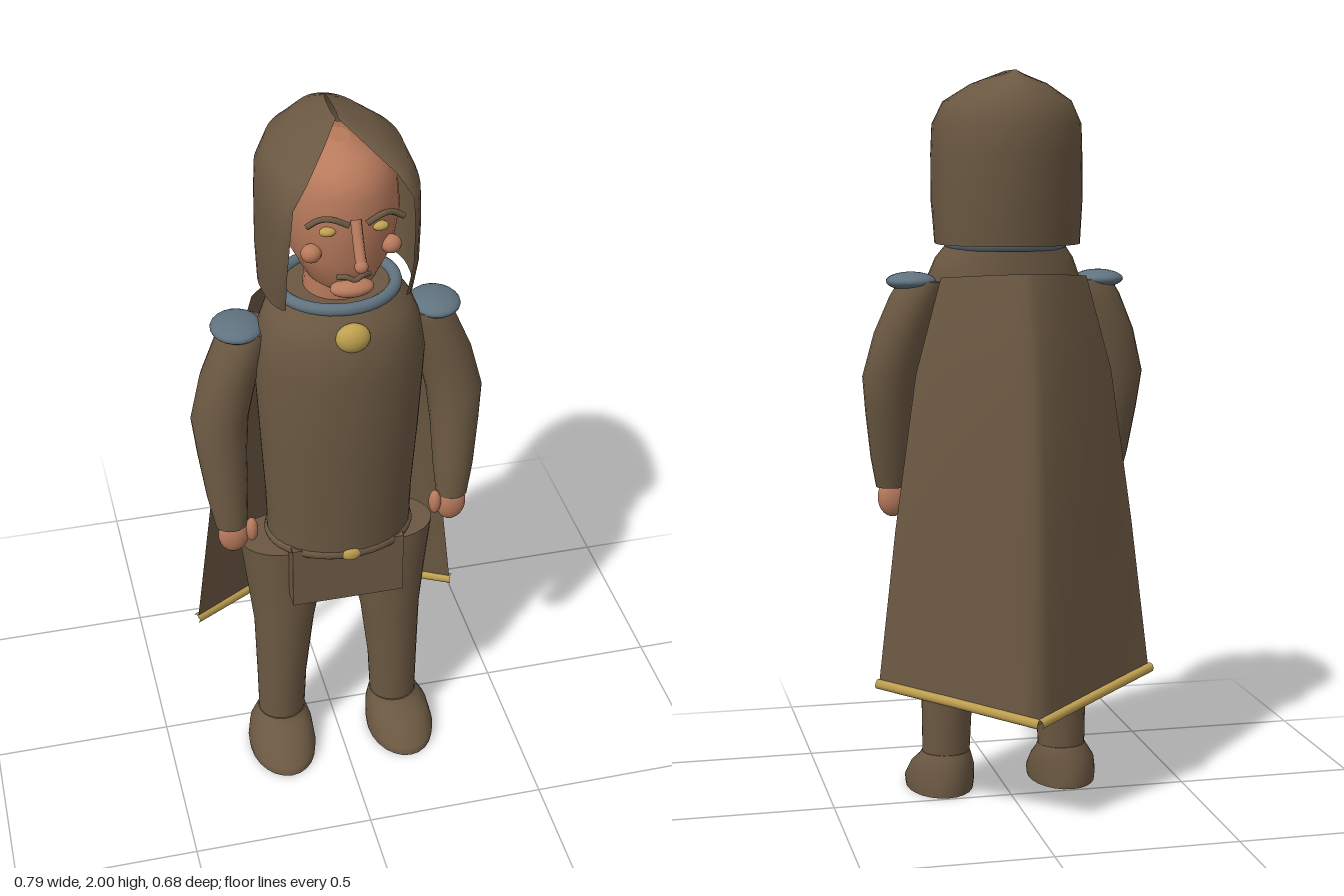
import * as THREE from 'three';

const mat = (name, color, side = THREE.FrontSide) => {
  const m = new THREE.MeshStandardMaterial({ color, side });
  m.name = name;
  return m;
};

// Surface from a grid of points; wrap closes each row into a ring
function gridGeometry(rows, wrap, caps) {
  const n = rows[0].length, pos = rows.flat(2), idx = [];
  for (let i = 0; i < rows.length - 1; i++) {
    for (let j = 0; j < (wrap ? n : n - 1); j++) {
      const k = (j + 1) % n, a = i * n + j, b = i * n + k;
      idx.push(a, b, b + n, a, b + n, a + n);
    }
  }
  if (caps) {
    [rows[0], rows[rows.length - 1]].forEach((ring, end) => {
      const c = pos.length / 3;
      const mid = [0, 1, 2].map(k => ring.reduce((s, p) => s + p[k], 0) / n);
      pos.push(...mid, ...ring.flat());
      for (let j = 0; j < n; j++) {
        const p = c + 1 + j, q = c + 1 + (j + 1) % n;
        if (end) idx.push(c, p, q); else idx.push(c, q, p);
      }
    });
  }
  const g = new THREE.BufferGeometry();
  g.setAttribute('position', new THREE.Float32BufferAttribute(pos, 3));
  g.setIndex(idx);
  g.computeVertexNormals();
  return g;
}

// Stack of ellipses, bottom to top: [y, centre x, centre z, radius x, radius z]
function loft(sections, n = 24) {
  return gridGeometry(sections.map(([y, cx, cz, rx, rz]) =>
    Array.from({ length: n }, (_, j) => {
      const a = j / n * Math.PI * 2;
      return [cx + rx * Math.sin(a), y, cz + rz * Math.cos(a)];
    })), true, true);
}

function tube(points, r, smooth = true) {
  const v = points.map(p => new THREE.Vector3(...p));
  const curve = new THREE.CatmullRomCurve3(v, false, 'catmullrom', smooth ? 0.5 : 0);
  return new THREE.TubeGeometry(curve, 24, r, 8);
}

export function createModel() {
  const model = new THREE.Group();
  const cloth = mat('brown cloth', 0x6b5842);
  const drape = mat('brown drape', 0x6b5842, THREE.DoubleSide);
  const skin = mat('skin', 0xb87a5c);
  const steel = mat('blue steel', 0x60737f);
  const gold = mat('gold', 0xbfa050);

  const add = (name, geometry, material) => {
    const m = new THREE.Mesh(geometry, material);
    m.name = name;
    model.add(m);
    return m;
  };
  const ball = (name, material, p, r) => {
    const m = add(name, new THREE.SphereGeometry(1, 20, 14), material);
    m.position.set(...p);
    m.scale.set(...r);
    return m;
  };
  // Horizontal elliptical band
  const band = (name, material, y, z, rx, rz, r) => {
    const m = add(name, new THREE.TorusGeometry(1, r / rx, 10, 40), material);
    m.rotation.x = Math.PI / 2;
    m.scale.set(rx, rz, rx);
    m.position.set(0, y, z);
  };

  // Torso, collar, belt and loincloth
  add('torso', loft([
    [0.77, 0, 0.1, 0.198, 0.152], [0.9, 0, 0.1, 0.2, 0.158], [1.1, 0, 0.105, 0.212, 0.168],
    [1.35, 0, 0.105, 0.225, 0.178], [1.45, 0, 0.098, 0.21, 0.168],
    [1.5, 0, 0.09, 0.19, 0.155], [1.54, 0, 0.075, 0.16, 0.14]], 32), cloth);
  add('neck', loft([[1.5, 0, 0.07, 0.09, 0.09], [1.62, 0, 0.08, 0.08, 0.09]]), skin);
  band('collar', steel, 1.54, 0.072, 0.152, 0.138, 0.017);
  band('belt', cloth, 0.78, 0.1, 0.19, 0.145, 0.016);
  ball('buckle', gold, [0, 0.78, 0.25], [0.027, 0.02, 0.012]);
  ball('brooch', gold, [0, 1.48, 0.25], [0.045, 0.04, 0.03]);
  const flap = add('loincloth', new THREE.BoxGeometry(0.31, 0.19, 0.22), cloth);
  flap.position.set(0, 0.695, 0.11);

  // Head
  add('head', loft([
    [1.57, 0, 0.11, 0.04, 0.07], [1.61, 0, 0.11, 0.09, 0.115], [1.69, 0, 0.105, 0.132, 0.15],
    [1.79, 0, 0.1, 0.148, 0.165], [1.87, 0, 0.1, 0.14, 0.165], [1.92, 0, 0.1, 0.115, 0.15],
    [1.95, 0, 0.1, 0.075, 0.11], [1.97, 0, 0.1, 0.025, 0.04]], 28), skin);
  add('nose', tube([[0, 1.83, 0.268], [0, 1.78, 0.295], [0, 1.735, 0.325]], 0.014), skin);
  ball('noseTip', skin, [0, 1.733, 0.325], [0.017, 0.017, 0.017]);
  ball('mouth', skin, [0, 1.62, 0.235], [0.056, 0.023, 0.032]);
  add('moustache', tube([[-0.04, 1.662, 0.248], [-0.02, 1.668, 0.262], [0, 1.66, 0.266],
    [0.02, 1.668, 0.262], [0.04, 1.662, 0.248]], 0.007), cloth);
  for (const s of [1, -1]) {
    const side = s > 0 ? 'left' : 'right';
    ball(side + 'Eye', gold, [s * 0.065, 1.795, 0.25], [0.021, 0.012, 0.015]);
    ball(side + 'Cheek', skin, [s * 0.1, 1.725, 0.225], [0.026, 0.024, 0.024]);
    add(side + 'Eyebrow', tube([[s * 0.022, 1.828, 0.288], [s * 0.06, 1.845, 0.282],
      [s * 0.09, 1.84, 0.268], [s * 0.12, 1.822, 0.262]], 0.008), cloth);
  }

  // Hood rows: [y, back z, half width, opening half width, opening z]
  const hood = [
    [1.54, -0.15, 0.195, 0.155, 0.18], [1.65, -0.168, 0.2, 0.16, 0.22],
    [1.78, -0.187, 0.198, 0.155, 0.245], [1.86, -0.19, 0.195, 0.148, 0.248],
    [1.92, -0.175, 0.168, 0.11, 0.235], [1.965, -0.135, 0.1, 0.05, 0.15],
    [2.0, -0.06, 0.006, 0.001, 0.07]];
  add('hood', gridGeometry(hood.map(([y, zb, w, xe, ze]) => {
    const zc = 0.04, half = [];
    for (let i = 0; i <= 18; i++) {
      const back = i <= 12, a = (back ? i / 12 : (i - 12) / 6) * Math.PI / 2;
      half.push(back
        ? [w * Math.sin(a), y, zc - (zc - zb) * Math.cos(a)]
        : [xe + (w - xe) * Math.cos(a), y, zc + (ze - zc) * Math.sin(a)]);
    }
    const right = half.map(([x, yy, z]) => [-x, yy, z]);
    return [...half.slice(1).reverse(), ...right].reverse();
  }), false, false).scale(-1, 1, 1), drape);
  // Restore outward winding after the mirror
  const hoodGeometry = model.getObjectByName('hood').geometry;
  hoodGeometry.index.array.reverse();
  hoodGeometry.computeVertexNormals();
  const outward = hoodGeometry.attributes.normal.getZ(18 + 37 * 2) < 0;
  if (!outward) {
    hoodGeometry.index.array.reverse();
    hoodGeometry.computeVertexNormals();
  }

  // Arms, hands, shoulder plates, legs and shoes
  for (const s of [1, -1]) {
    const side = s > 0 ? 'left' : 'right';
    add(side + 'Arm', loft([
      [0.865, s * 0.307, 0.15, 0.043, 0.038], [0.95, s * 0.312, 0.135, 0.055, 0.048],
      [1.08, s * 0.318, 0.11, 0.066, 0.06], [1.18, s * 0.318, 0.092, 0.076, 0.068],
      [1.3, s * 0.288, 0.078, 0.075, 0.073], [1.4, s * 0.25, 0.07, 0.07, 0.075],
      [1.44, s * 0.235, 0.07, 0.06, 0.065]], 18), cloth);
    ball(side + 'Hand', skin, [s * 0.303, 0.835, 0.157], [0.042, 0.056, 0.03]);
    ball(side + 'Thumb', skin, [s * 0.255, 0.85, 0.168], [0.017, 0.037, 0.019]);
    ball(side + 'ShoulderPlate', steel, [s * 0.262, 1.44, 0.072], [0.068, 0.025, 0.076]);
    add(side + 'Leg', loft([
      [0.09, s * 0.168, 0.095, 0.066, 0.062], [0.25, s * 0.165, 0.093, 0.071, 0.068],
      [0.45, s * 0.155, 0.088, 0.085, 0.08], [0.6, s * 0.148, 0.08, 0.108, 0.088],
      [0.74, s * 0.152, 0.075, 0.12, 0.094]]), cloth);
    add(side + 'Shoe', loft([
      [0, s * 0.178, 0.143, 0.094, 0.137], [0.025, s * 0.178, 0.141, 0.097, 0.135],
      [0.07, s * 0.175, 0.115, 0.09, 0.102], [0.1, s * 0.17, 0.097, 0.075, 0.075],
      [0.115, s * 0.168, 0.095, 0.068, 0.067]]), cloth);
  }

  // Cape rows: [y centre, y edge, half width, z centre, z edge, fold power]
  const cape = [
    [0.3, 0.36, 0.38, -0.33, -0.055, 1], [0.75, 0.78, 0.33, -0.295, -0.045, 1.2],
    [1.2, 1.2, 0.27, -0.25, -0.04, 1.4], [1.47, 1.455, 0.2, -0.165, -0.035, 1.6]];
  add('cape', gridGeometry(cape.map(([yc, ye, w, zc, ze, p]) =>
    Array.from({ length: 21 }, (_, j) => {
      const u = 1 - j / 10, f = Math.abs(u) ** p;
      return [w * u, yc + (ye - yc) * f, zc + (ze - zc) * f];
    })), false, false), drape);
  for (const s of [1, -1]) {
    add(s > 0 ? 'leftCapeHem' : 'rightCapeHem',
      tube([[0, 0.3, -0.33], [s * 0.19, 0.33, -0.193], [s * 0.385, 0.36, -0.055]], 0.014, false), gold);
  }
  return model;
}
